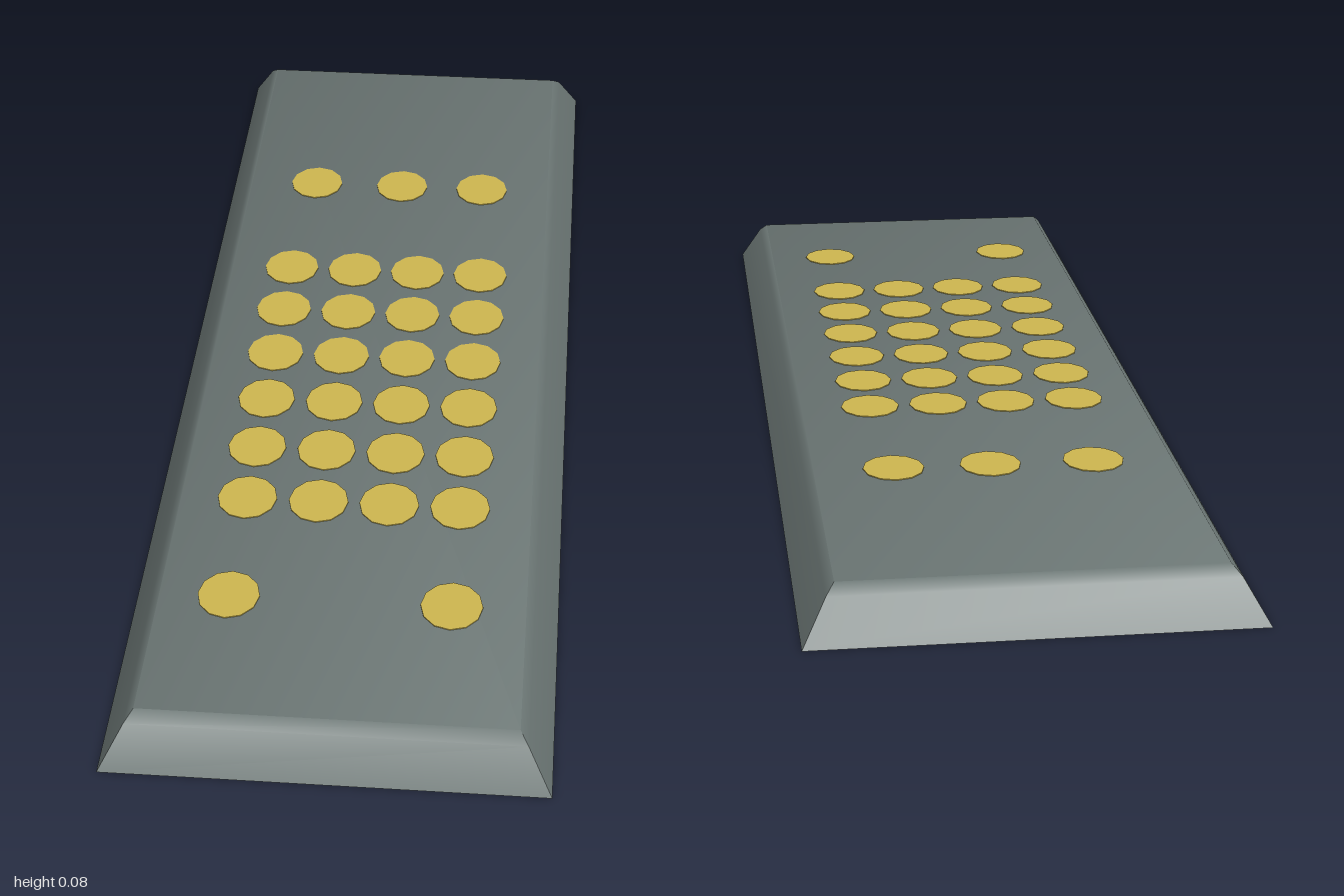
import * as THREE from 'three';
import { toCreasedNormals } from 'three/addons/utils/BufferGeometryUtils.js';

const TOP = 0.078;

// Hollow casing: rectangular rings stacked up to a closed top, open underneath
function casingGeometry() {
  const rings = [[0.332, 1.0, 0], [0.295, 0.963, 0.064], [0.282, 0.944, TOP]]; // half width, half length, height
  const corners = [[1, 1], [1, -1], [-1, -1], [-1, 1]];
  const points = [], faces = [];
  for (const [w, l, y] of rings) for (const [sx, sz] of corners) points.push(sx * w, y, sz * l);
  for (let r = 0; r < rings.length - 1; r++) {
    for (let i = 0; i < 4; i++) {
      const a = r * 4 + i, b = r * 4 + (i + 1) % 4;
      faces.push(a, b, b + 4, a, b + 4, a + 4);
    }
  }
  const t = (rings.length - 1) * 4;
  faces.push(t, t + 1, t + 2, t, t + 2, t + 3);
  const geometry = new THREE.BufferGeometry();
  geometry.setAttribute('position', new THREE.Float32BufferAttribute(points, 3));
  geometry.setIndex(faces);
  return toCreasedNormals(geometry, 0.87);
}

export function createModel() {
  const model = new THREE.Group();
  model.name = 'remoteControl';

  const casingGrey = new THREE.MeshStandardMaterial({ color: 0x6c7775, side: THREE.DoubleSide });
  casingGrey.name = 'casingGrey';
  const buttonYellow = new THREE.MeshStandardMaterial({ color: 0xd0b850 });
  buttonYellow.name = 'buttonYellow';

  const casing = new THREE.Mesh(casingGeometry(), casingGrey);
  casing.name = 'casing';
  model.add(casing);

  // Thin oval buttons, flush with the top and showing on its underside
  const buttons = new THREE.Group();
  buttons.name = 'buttons';
  model.add(buttons);
  const buttonGeometry = new THREE.CylinderGeometry(1, 1, 0.003, 12);
  buttonGeometry.scale(0.048, 1, 0.054);
  const addRow = (name, z, xs) => {
    for (const x of xs) {
      const button = new THREE.Mesh(buttonGeometry, buttonYellow);
      button.name = name;
      button.position.set(x, TOP, z);
      buttons.add(button);
    }
  };

  addRow('topButton', -0.512, [-0.158, 0.005, 0.157]);
  for (let row = 0; row < 6; row++) {
    addRow('keypadButton', -0.22 + row * 0.1335, [-0.175, -0.06, 0.054, 0.168]);
  }
  addRow('bottomButton', 0.685, [-0.175, 0.168]);

  return model;
}
